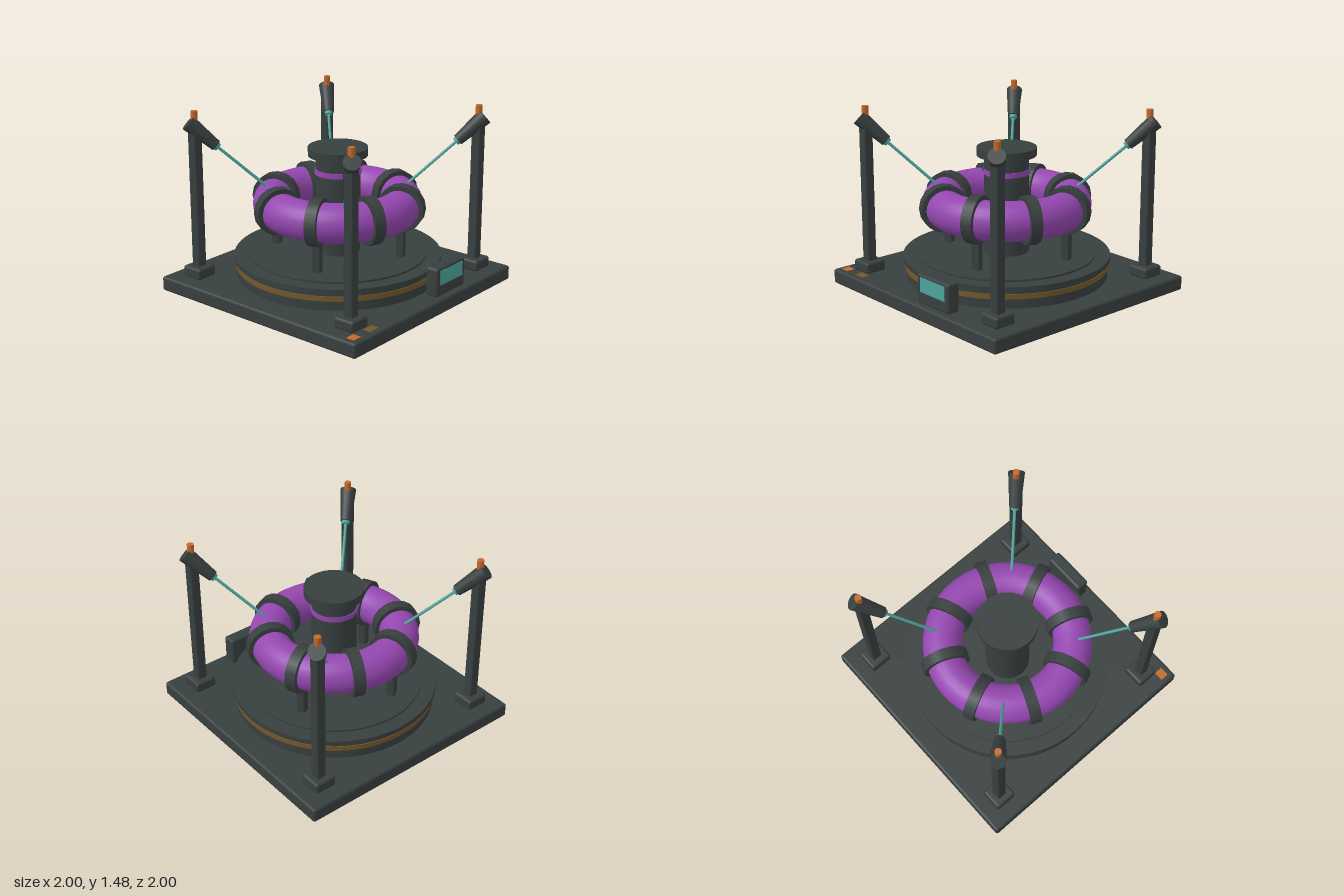
import * as THREE from 'three';
import { RoundedBoxGeometry } from 'three/addons/geometries/RoundedBoxGeometry.js';

const material = (name, color) => {
  const m = new THREE.MeshStandardMaterial({ color });
  m.name = name;
  return m;
};

export function createModel() {
  const dark = material('dark metal', 0x383f3f);
  const purple = material('purple', 0x9447b0);
  const teal = material('teal', 0x4da39c);
  const orange = material('orange', 0xc46a2b);
  const bronze = material('bronze', 0x74572a);

  const model = new THREE.Group();
  model.name = 'ringReactor';

  const add = (name, geometry, mat, x, y, z, parent = model) => {
    const mesh = new THREE.Mesh(geometry, mat);
    mesh.name = name;
    mesh.position.set(x, y, z);
    parent.add(mesh);
    return mesh;
  };
  // Upright cylinder given by its bottom and top heights
  const drum = (name, r, y0, y1, mat, sides = 48) =>
    add(name, new THREE.CylinderGeometry(r, r, y1 - y0, sides), mat, 0, (y0 + y1) / 2, 0);
  const box = (w, h, d, r) => new RoundedBoxGeometry(w, h, d, 2, r);
  // Cylinder running between two points
  const rod = (name, a, b, ra, rb, mat, sides, parent) => {
    const dir = b.clone().sub(a);
    const mid = a.clone().add(b).multiplyScalar(0.5);
    const mesh = add(name, new THREE.CylinderGeometry(rb, ra, dir.length(), sides), mat, mid.x, mid.y, mid.z, parent);
    mesh.quaternion.setFromUnitVectors(new THREE.Vector3(0, 1, 0), dir.normalize());
    return mesh;
  };

  // Base plate and stepped round platform
  add('basePlate', box(2, 0.12, 2, 0.02), dark, 0, 0.06, 0);
  drum('platformBody', 0.81, 0.11, 0.26, dark, 64);
  drum('platformBand', 0.818, 0.195, 0.235, bronze, 64);
  drum('platformLip', 0.83, 0.255, 0.297, dark, 64);
  drum('platformTop', 0.715, 0.295, 0.312, dark, 64);

  // Central column
  drum('column', 0.178, 0.3, 1.11, dark);
  drum('columnBand', 0.185, 0.953, 0.995, purple);
  drum('columnCap', 0.237, 1.1, 1.167, dark);

  // Ring tube
  const ring = add('ringTube', new THREE.TorusGeometry(0.52, 0.155, 24, 72), purple, 0, 0.711, 0);
  ring.rotation.x = Math.PI / 2;

  // Eight clamps round the tube, every second one on a leg
  for (let i = 0; i < 8; i++) {
    const angle = Math.PI / 8 + (i * Math.PI) / 4;
    const arm = new THREE.Group();
    arm.name = 'clampArm';
    arm.rotation.y = -angle;
    model.add(arm);
    const clamp = add('clamp', new THREE.CylinderGeometry(0.19, 0.19, 0.09, 16), dark, 0.52, 0.713, 0, arm);
    clamp.rotation.x = Math.PI / 2;
    if (i % 2 === 1) add('leg', box(0.07, 0.25, 0.07, 0.012), dark, 0.52, 0.425, 0, arm);
  }

  // Four corner posts with emitters aimed at the ring
  for (const sx of [-1, 1]) {
    for (const sz of [-1, 1]) {
      const post = new THREE.Group();
      post.name = 'cornerPost';
      model.add(post);
      const at = (d, y) => new THREE.Vector3(sx * d, y, sz * d);
      const p = 0.786;
      add('postFoot', box(0.185, 0.09, 0.185, 0.02), dark, sx * p, 0.165, sz * p, post);
      add('postShaft', box(0.08, 1.2, 0.08, 0.01), dark, sx * p, 0.77, sz * p, post);
      add('postLight', new THREE.CylinderGeometry(0.027, 0.027, 0.1, 12), orange, sx * p, 1.43, sz * p, post);
      rod('emitter', at(0.82, 1.386), at(0.672, 1.198), 0.066, 0.045, dark, 16, post);
      rod('emitterTip', at(0.674, 1.2), at(0.66, 1.182), 0.036, 0.03, teal, 16, post);
      rod('beam', at(0.67, 1.195), at(0.39, 0.845), 0.012, 0.012, teal, 8, post);
    }
  }

  // Control console with screen
  add('console', box(0.37, 0.235, 0.11, 0.02), dark, 0.235, 0.237, 0.895);
  add('consoleScreen', new THREE.BoxGeometry(0.289, 0.118, 0.006), teal, 0.237, 0.273, 0.951);

  // Painted marks on the base corner
  add('orangeMark', new THREE.BoxGeometry(0.08, 0.004, 0.07), orange, -0.912, 0.121, 0.915);
  add('bronzeMark', new THREE.BoxGeometry(0.1, 0.004, 0.07), bronze, -0.715, 0.121, 0.915);

  return model;
}
